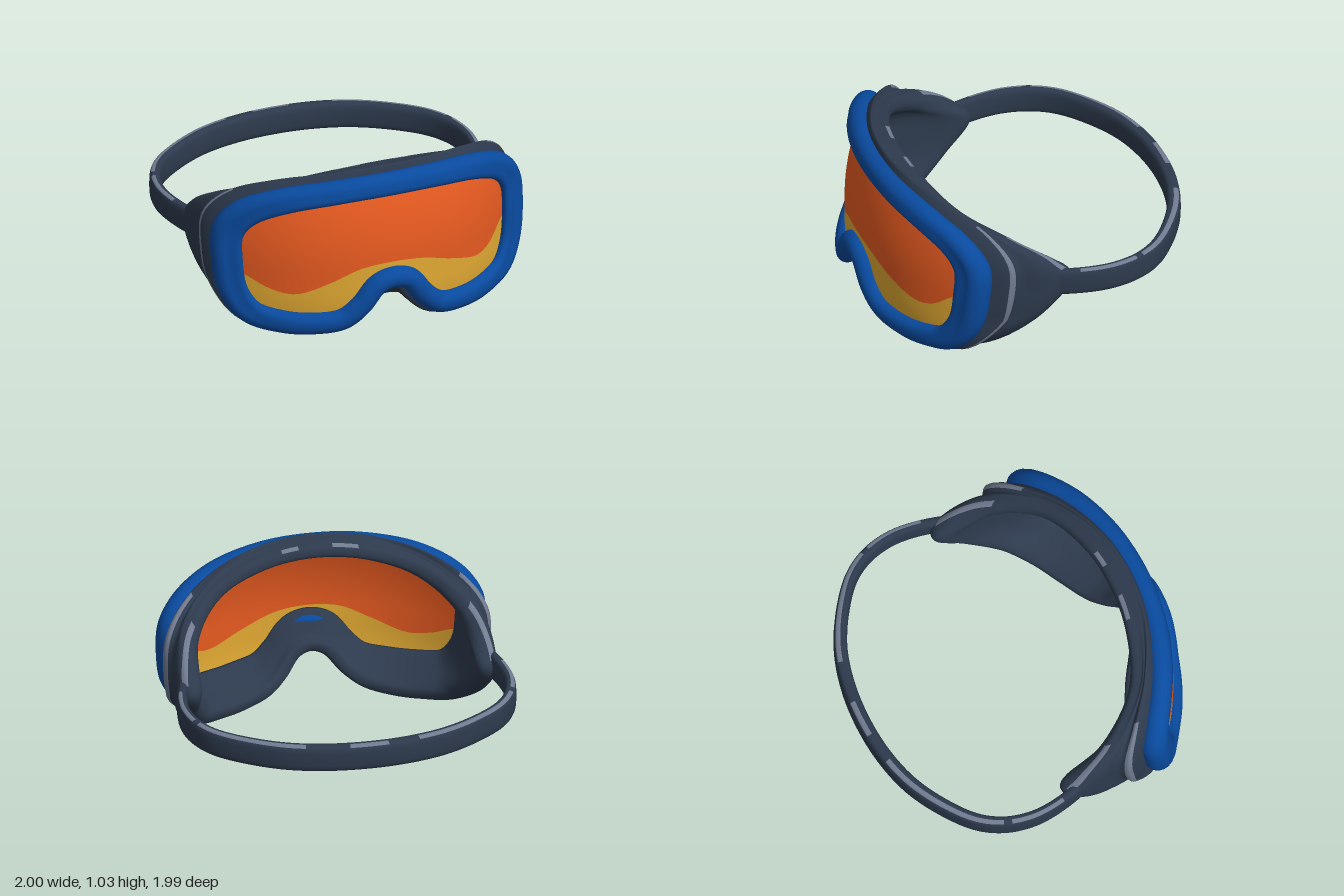
import * as THREE from 'three';

const V = (x, y, z) => new THREE.Vector3(x, y, z);
const mat = (name, color, side = THREE.FrontSide) => {
  const m = new THREE.MeshStandardMaterial({ color, side });
  m.name = name;
  return m;
};

// Curved plane that the lens and the front frame follow
const surf = (x, y) => 0.926 - 0.37 * x ** 2 - 0.17 * x ** 4
  - 0.45 * Math.max(0, y - 0.45) ** 2 - 0.5 * Math.max(0, 0.3 - y) ** 2;

// Left halves of the front outline and of the rear edge, from nose to brow
const FRONT = [[0, .375], [.1, .345], [.2, .22], [.3, .137], [.45, .112], [.62, .117], [.79, .167],
  [.875, .3], [.902, .5], [.89, .67], [.8, .79], [.6, .88], [.3, .926], [0, .937]];
const REAR = [[0, .275, .8], [.1, .245, .78], [.2, .145, .71], [.3, .085, .64], [.45, .06, .56], [.6, .07, .47],
  [.75, .125, .33], [.86, .3, .1], [.88, .5, -.055], [.87, .62, .05], [.81, .74, .25], [.6, .865, .52],
  [.3, .945, .645], [0, .97, .68]];
const STEP = 6, N = 26 * STEP, WIDEST = 8 * STEP, HALF = 13 * STEP;

// Mirror a half outline and sample it as a closed loop
function sampleLoop(half) {
  const pts = half.map(([x, y, z]) => V(x, y, z ?? surf(x, y)));
  const mirrored = pts.slice(1, -1).reverse().map(p => V(-p.x, p.y, p.z));
  const curve = new THREE.CatmullRomCurve3([...pts, ...mirrored], true);
  return Array.from({ length: N }, (_, i) => curve.getPoint(i / N));
}

// Skin a list of closed cross-sections; accent(i, j) picks faces for material 1
function loft(rings, closed, accent = () => false) {
  const m = rings[0].length, faces = [[], []];
  const pos = rings.flat().flatMap(p => [p.x, p.y, p.z]);
  const count = closed ? rings.length : rings.length - 1;
  for (let i = 0; i < count; i++) for (let j = 0; j < m; j++) {
    const a = i * m + j, b = i * m + (j + 1) % m;
    const k = (i + 1) % rings.length, c = k * m + j, d = k * m + (j + 1) % m;
    faces[accent(i, j) ? 1 : 0].push(a, b, c, b, d, c);
  }
  const at = i => V(pos[3 * i], pos[3 * i + 1], pos[3 * i + 2]);
  const index = [...faces[0], ...faces[1]];
  // Turn the faces outward if the enclosed volume is negative
  let volume = 0;
  for (let i = 0; i < index.length; i += 3) volume += at(index[i]).dot(at(index[i + 1]).cross(at(index[i + 2])));
  if (volume < 0) for (let i = 0; i < index.length; i += 3) [index[i], index[i + 1]] = [index[i + 1], index[i]];
  const g = new THREE.BufferGeometry();
  g.setAttribute('position', new THREE.Float32BufferAttribute(pos, 3));
  g.setIndex(index);
  g.addGroup(0, faces[0].length, 0);
  g.addGroup(faces[0].length, faces[1].length, 1);
  g.computeVertexNormals();
  return g;
}

export function createModel() {
  const group = new THREE.Group();
  const dark = mat('slate rubber', 0x2d3a4d), grey = mat('worn edge grey', 0x717b90);
  const blue = mat('frame blue', 0x094a9e);
  const orange = mat('lens orange', 0xe65a20, THREE.DoubleSide);
  const yellow = mat('lens yellow', 0xe0a832, THREE.DoubleSide);
  const add = (name, geometry, material) => {
    const mesh = new THREE.Mesh(geometry, material);
    mesh.name = name;
    group.add(mesh);
  };

  const F = sampleLoop(FRONT), R = sampleLoop(REAR);
  const normals = F.map((_, i) => {
    const t = F[(i + 1) % N].clone().sub(F[(i + N - 1) % N]);
    return V(t.y, -t.x, 0).normalize();
  });
  const off = (p, n, a, z) => p.clone().addScaledVector(n, a).add(V(0, 0, z));

  // Blue front frame, thicker towards the sides, its inner half hugging the lens
  add('frontFrame', loft(F.map((p, i) => Array.from({ length: 20 }, (_, j) => {
    const a = j / 20 * Math.PI * 2, s = (p.x / 0.905) ** 2;
    const q = off(p, normals[i], (0.066 + 0.013 * s) * Math.cos(a), (0.067 + 0.018 * s) * Math.sin(a));
    if (Math.cos(a) < 0) q.z += Math.max(0, surf(q.x, q.y) - p.z);
    return q;
  })), true), blue);

  // Dark body: lip behind the frame, outer wall, rounded rear rim, inner wall
  const body = F.map((p, i) => {
    const n = normals[i], r = R[i], s = (p.x / 0.905) ** 2, w = 0.05 + 0.014 * s;
    const flare = s * THREE.MathUtils.clamp((p.y - 0.08) / 0.25, 0, 1);
    const lip = off(p, n, 0.095 - 0.023 * flare, -0.045 - 0.155 * flare);
    const outer = off(r, n, w, 0.03);
    const inner = off(p, n, -0.085, 0);
    inner.z = surf(inner.x, inner.y) - 0.014;
    const section = [
      inner,
      off(p, n, 0.055 - 0.025 * flare, -0.03 - 0.06 * flare),
      lip,
      off(lip.clone().lerp(outer, 0.3 - 0.15 * flare), n, -0.04 * flare, 0),
      lip.clone().lerp(outer, 0.6).addScaledVector(n, -0.01 * flare),
      outer,
      off(r, n, 0.032, -0.025),
      off(r, n, -0.025, -0.035),
      off(r, n, -w, 0.015),
      off(r.clone().lerp(p, 0.5), n, -0.07, 0),
    ];
    const curve = new THREE.CatmullRomCurve3(section, true);
    return Array.from({ length: 40 }, (_, j) => curve.getPoint(j / 40));
  });
  const bodyAccent = (i, j) => {
    const { x, y } = F[i];
    const onLip = j >= 7 && j <= 9 && Math.abs(x) > 0.76 && y > 0.16 && y < 0.82;
    const onTemple = j >= 22 && j <= 24 && y > 0.58 && y < 0.8;
    const onBrow = (j === 22 || j === 23) && y > 0.9 && ((x > -0.22 && x < -0.06) || Math.abs(x - 0.18) < 0.03);
    return onLip || onTemple || onBrow;
  };
  add('body', loft(body, true, bodyAccent), [dark, grey]);

  // Curved lens in two colours, divided by a wavy line
  const edge = (x, from, to) => {
    for (let i = from; i < to; i++) {
      const a = F[i], b = F[i + 1], t = (Math.abs(x) - a.x) / (b.x - a.x);
      if (t >= 0 && t <= 1) return a.y + (b.y - a.y) * t;
    }
    return 0.5;
  };
  const wave = new THREE.CatmullRomCurve3([[-.88, .42], [-.81, .395], [-.7, .33], [-.57, .3], [-.37, .375],
    [-.2, .45], [0, .47], [.2, .45], [.4, .385], [.6, .33], [.7, .36], [.8, .45], [.88, .48]]
    .map(([x, y]) => V(x, y, 0))).getPoints(96);
  const divide = x => {
    const i = Math.max(1, wave.findIndex(p => p.x >= x)), a = wave[i - 1], b = wave[i];
    return a.y + (b.y - a.y) * (x - a.x) / (b.x - a.x);
  };
  const lensPart = (low, high) => {
    const g = new THREE.PlaneGeometry(1.72, 1, 80, 12), p = g.attributes.position;
    for (let i = 0; i < p.count; i++) {
      const x = p.getX(i), y = THREE.MathUtils.lerp(low(x), high(x), p.getY(i) + 0.5);
      p.setXYZ(i, x, y, surf(x, y) - 0.005);
    }
    g.computeVertexNormals();
    return g;
  };
  add('lensUpper', lensPart(divide, x => edge(x, WIDEST, HALF)), orange);
  add('lensLower', lensPart(x => edge(x, 0, WIDEST), divide), yellow);

  // Head strap, a rounded band swept around the back
  const side = [[.89, .08], [.93, -.04], [.962, -.2], [.965, -.33], [.93, -.48], [.85, -.615], [.7, -.745],
    [.48, -.87], [.25, -.935]];
  const path = new THREE.CatmullRomCurve3([
    ...side.map(([x, z]) => V(x, 0, z)), V(0, 0, -0.956),
    ...side.map(([x, z]) => V(-x, 0, z)).reverse()]);
  const M = 120, rings = [];
  for (let i = 0; i <= M; i++) {
    const p = path.getPoint(i / M), t = path.getTangent(i / M);
    const out = V(t.z, 0, -t.x);
    if (out.dot(V(p.x, 0, p.z + 0.3)) < 0) out.negate();
    const back = THREE.MathUtils.clamp(-p.z, 0, 1), half = 0.031 + 0.013 * back ** 2;
    rings.push(Array.from({ length: 20 }, (_, j) => {
      const a = j / 20 * Math.PI * 2, c = Math.cos(a), s = Math.sin(a);
      const w = half * Math.sign(c) * Math.abs(c) ** 0.6, h = 0.083 * Math.sign(s) * Math.abs(s) ** 0.6;
      return p.clone().addScaledVector(out, w).add(V(0, 0.493 + 0.022 * back ** 2 + h, 0));
    }));
  }
  const worn = [[10, 26], [28, 50], [57, 63], [68, 93], [95, 110]];
  const strapAccent = (i, j) => (j === 3 || j === 4) && worn.some(([a, b]) => i >= a && i < b);
  add('strap', loft(rings, false, strapAccent), [dark, grey]);

  return group;
}
